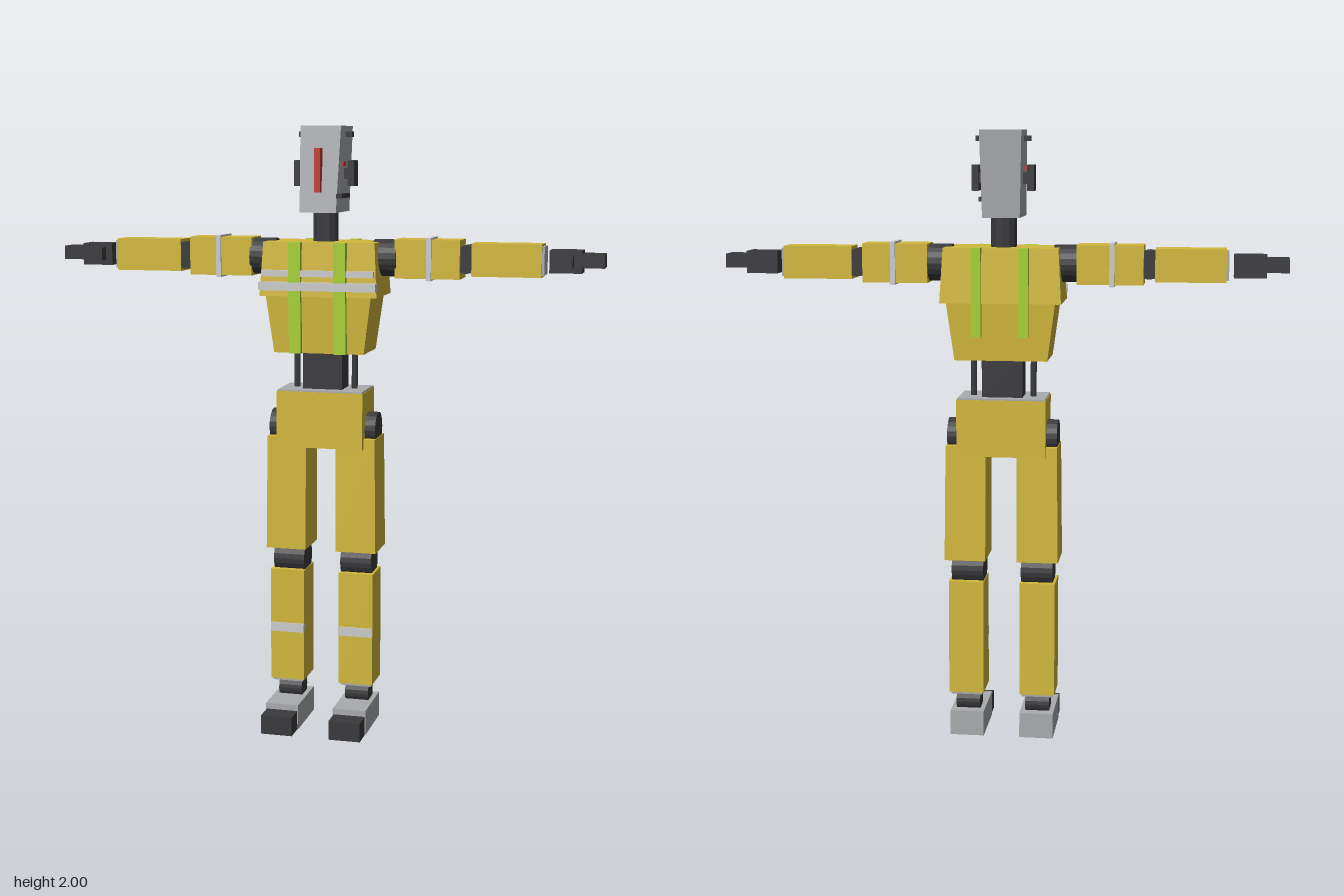
import * as THREE from 'three';

const mat = (color) => new THREE.MeshStandardMaterial({ color, flatShading: true });

export function createModel() {
  const root = new THREE.Group();
  const yellow = mat(0xd1b83c), dark = mat(0x3a3a3d), grey = mat(0xa9abae);
  const light = mat(0xcccccc), green = mat(0xa9cf35), red = mat(0xc23b34);
  const axisZ = -0.048;

  const add = (name, geo, material, parent = root) => {
    const m = new THREE.Mesh(geo, material);
    m.name = name;
    parent.add(m);
    return m;
  };
  // Box given by its extents
  const box = (name, material, x0, x1, y0, y1, z0, z1, parent) => {
    const m = add(name, new THREE.BoxGeometry(x1 - x0, y1 - y0, z1 - z0), material, parent);
    m.position.set((x0 + x1) / 2, (y0 + y1) / 2, (z0 + z1) / 2);
    return m;
  };
  // Box whose top and bottom rectangles differ: each is [x0, x1, z0, z1]
  const taper = (name, material, y0, y1, bottom, top, parent) => {
    const geo = new THREE.BoxGeometry(1, 1, 1), p = geo.attributes.position;
    for (let i = 0; i < p.count; i++) {
      const up = p.getY(i) > 0, r = up ? top : bottom;
      p.setXYZ(i, r[p.getX(i) > 0 ? 1 : 0], up ? y1 : y0, r[p.getZ(i) > 0 ? 3 : 2]);
    }
    geo.computeVertexNormals();
    return add(name, geo, material, parent);
  };
  // Cylinder along the chosen axis
  const cyl = (name, material, r, len, axis, x, y, z, parent, sides = 20) => {
    const geo = new THREE.CylinderGeometry(r, r, len, sides);
    if (axis === 'x') geo.rotateZ(Math.PI / 2);
    if (axis === 'z') geo.rotateX(Math.PI / 2);
    const m = add(name, geo, material, parent);
    m.position.set(x, y, z);
    return m;
  };

  // Head leaning back towards the crown
  taper('head', grey, 1.725, 2, [-0.06, 0.06, -0.122, 0.062], [-0.067, 0.067, -0.14, 0.022]);
  box('faceLight', red, -0.01, 0.01, 1.79, 1.93, 0.035, 0.07);
  box('microphone', dark, 0.065, 0.085, 1.772, 1.786, -0.025, 0.082);
  cyl('neck', dark, 0.042, 0.13, 'y', 0, 1.675, axisZ, root, 12);

  // Torso
  taper('upperChest', yellow, 1.455, 1.63, [-0.195, 0.195, -0.15, 0.065], [-0.185, 0.185, -0.137, 0.052]);
  taper('lowerChest', yellow, 1.27, 1.455, [-0.15, 0.15, -0.13, 0.05], [-0.175, 0.175, -0.14, 0.06]);
  box('upperChestStripe', light, -0.185, 0.185, 1.52, 1.54, 0.05, 0.075);
  box('lowerChestStripe', light, -0.195, 0.195, 1.475, 1.502, 0.055, 0.083);
  box('waist', dark, -0.066, 0.066, 1.14, 1.28, -0.095, 0);
  box('pelvis', yellow, -0.145, 0.145, 0.955, 1.141, -0.13, 0.043);
  box('pelvisCap', grey, -0.143, 0.143, 1.141, 1.146, -0.128, 0.041);

  // Everything paired: built on the +x side, mirrored for the other
  const buildSide = (name) => {
    const g = new THREE.Group();
    g.name = name;

    // Head fittings
    box('earpiece', dark, 0.078, 0.1, 1.808, 1.89, -0.075, -0.02, g);
    box('earMount', dark, 0.055, 0.08, 1.83, 1.865, -0.06, -0.035, g);
    box('templeSensor', dark, 0.055, 0.088, 1.964, 1.982, -0.068, -0.04, g);
    box('cheekLight', red, 0.05, 0.072, 1.873, 1.887, -0.025, 0.012, g);

    // Vest straps
    box('upperFrontStrap', green, 0.055, 0.095, 1.435, 1.63, 0.045, 0.078, g);
    box('lowerFrontStrap', green, 0.055, 0.095, 1.27, 1.44, 0.04, 0.07, g);
    box('backStrap', green, 0.06, 0.092, 1.35, 1.632, -0.165, -0.145, g);
    box('backStrapTop', green, 0.06, 0.092, 1.61, 1.632, -0.15, -0.13, g);
    cyl('waistRod', dark, 0.01, 0.14, 'y', 0.098, 1.208, axisZ, g, 10);

    // Arm
    cyl('shoulderJoint', dark, 0.06, 0.08, 'x', 0.205, 1.578, axisZ, g);
    box('upperArm', yellow, 0.24, 0.452, 1.515, 1.64, -0.108, 0.003, g);
    box('armBand', light, 0.344, 0.36, 1.509, 1.646, -0.114, 0.009, g);
    cyl('elbowJoint', dark, 0.045, 0.09, 'z', 0.47, 1.578, -0.054, g);
    box('forearm', yellow, 0.488, 0.712, 1.525, 1.63, -0.103, -0.007, g);
    box('cuff', grey, 0.712, 0.72, 1.532, 1.623, -0.097, -0.013, g);
    box('palm', dark, 0.735, 0.838, 1.54, 1.612, -0.095, -0.016, g);
    box('fingers', dark, 0.838, 0.908, 1.557, 1.602, -0.092, -0.02, g);
    box('thumb', dark, 0.757, 0.812, 1.558, 1.6, -0.016, 0.022, g);

    // Leg
    cyl('hipJoint', dark, 0.055, 0.08, 'x', 0.14, 1.015, axisZ, g);
    taper('thigh', yellow, 0.605, 0.987, [0.052, 0.187, -0.125, 0.025], [0.05, 0.182, -0.122, 0.024], g);
    cyl('kneeJoint', dark, 0.053, 0.105, 'x', 0.115, 0.565, axisZ, g);
    box('shin', yellow, 0.06, 0.176, 0.148, 0.53, -0.11, 0.015, g);
    box('shinCap', grey, 0.066, 0.17, 0.14, 0.148, -0.104, 0.009, g);
    box('shinBand', light, 0.06, 0.174, 0.315, 0.345, 0, 0.021, g);
    cyl('ankleJoint', dark, 0.037, 0.08, 'x', 0.116, 0.106, axisZ, g);
    box('ankleBlock', dark, 0.084, 0.148, 0.08, 0.145, -0.073, -0.023, g);
    box('foot', grey, 0.06, 0.172, 0, 0.084, -0.113, 0.095, g);
    box('toe', dark, 0.063, 0.169, 0, 0.064, 0.095, 0.165, g);
    return g;
  };
  const left = buildSide('leftSide'), right = buildSide('rightSide');
  right.scale.x = -1;
  root.add(left, right);
  return root;
}
